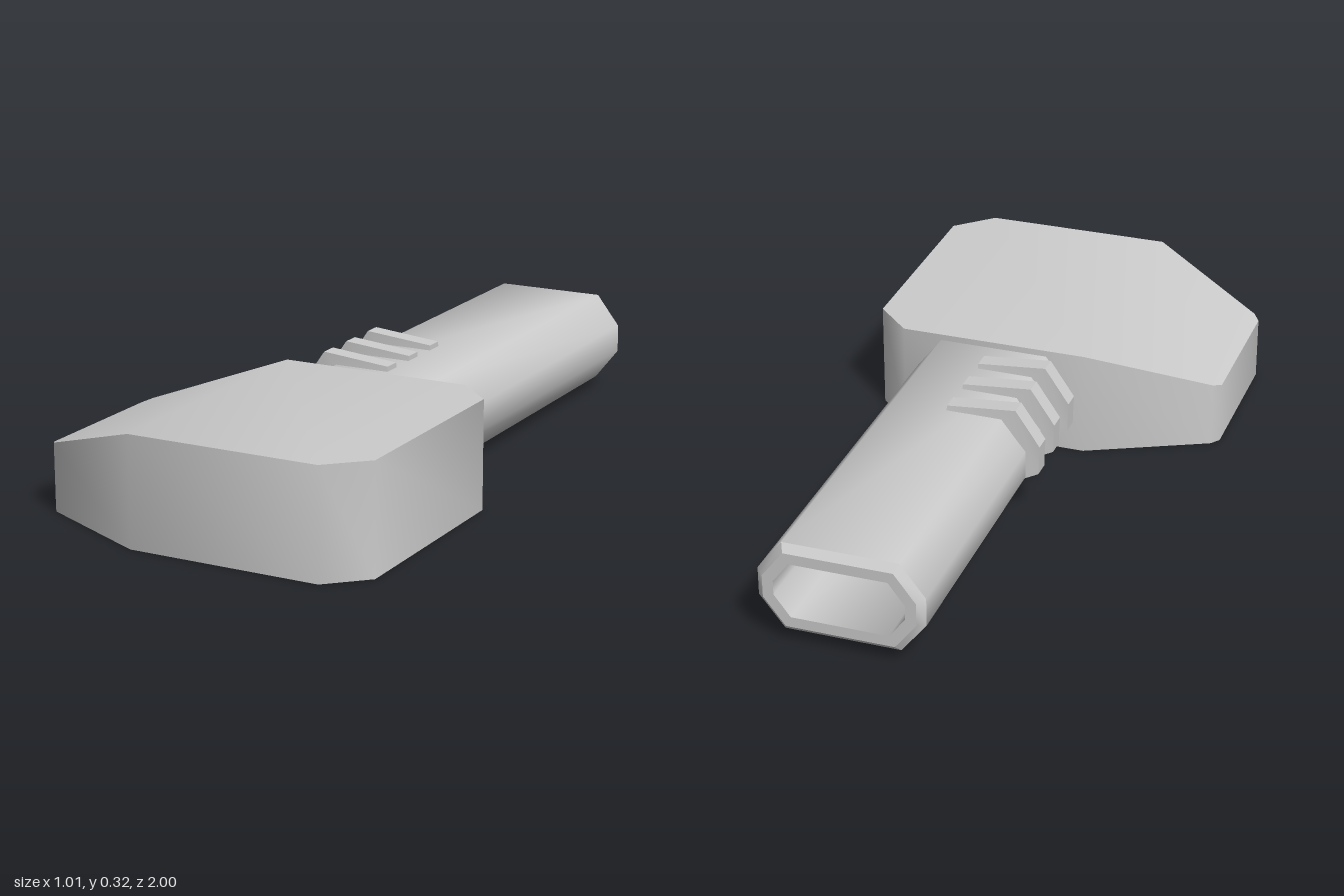
import * as THREE from 'three';
import { toCreasedNormals } from 'three/addons/utils/BufferGeometryUtils.js';

const material = new THREE.MeshStandardMaterial({ color: 0xcccccc });

// Skin between successive closed rings of points, optionally capped at both ends.
function loft(rings, capped, crease = 0.95) {
  const n = rings[0].length, index = [];
  for (let r = 0; r < rings.length - 1; r++) {
    for (let i = 0; i < n; i++) {
      const j = (i + 1) % n, a = r * n, b = a + n;
      index.push(a + i, a + j, b + j, a + i, b + j, b + i);
    }
  }
  if (capped) {
    const e = (rings.length - 1) * n;
    for (let i = 1; i < n - 1; i++) index.push(0, i + 1, i, e, e + i, e + i + 1);
  }
  const g = new THREE.BufferGeometry();
  g.setAttribute('position', new THREE.Float32BufferAttribute(rings.flat(2), 3));
  g.setIndex(index);
  return toCreasedNormals(g, crease);
}

// Octagonal handle section at depth z, inset from the outer wall.
function handleRing(z, inset) {
  const w = 0.23 - inset, h = 0.13 - inset;
  const cx = 0.07 - inset * 0.5, cy = 0.09 - inset * 0.6;
  return [[w, h - cy], [w, cy - h], [w - cx, -h], [cx - w, -h],
    [-w, cy - h], [-w, h - cy], [cx - w, h], [w - cx, h]]
    .map(([x, y]) => [0.125 + x, 0.16 + y, z]);
}

export function createModel() {
  const group = new THREE.Group();
  const add = (name, geometry) => {
    const mesh = new THREE.Mesh(geometry, material);
    mesh.name = name;
    group.add(mesh);
    return mesh;
  };

  // Head: rectangular sections along x as [x, half depth, top height]
  const sections = [[-0.51, 0.215, 0.184], [-0.49, 0.242, 0.192],
    [-0.15, 0.405, 0.308], [0.4, 0.405, 0.308], [0.505, 0.305, 0.308]];
  add('head', loft(sections.map(([x, d, top]) => [
    [x, 0, 0.595 - d], [x, top, 0.595 - d], [x, top, 0.595 + d], [x, 0, 0.595 + d],
  ]), true));

  // Hollow handle: outer wall, bevelled rim and bore
  add('handle', loft([handleRing(0.2, 0), handleRing(-0.98, 0)], false));
  add('handleRim', loft([handleRing(-0.98, 0), handleRing(-1, 0.02), handleRing(-1, 0.05)], false, 0.5));
  add('handleBore', loft([handleRing(-1, 0.05), handleRing(0.2, 0.05)], false));

  // Grip ribs wrapped over one upper corner of the handle, narrower on the outside
  const profile = [[0.125, 0.28], [0.125, 0.304], [-0.075, 0.322], [-0.145, 0.22],
    [-0.142, 0.135], [-0.1, 0.115], [-0.09, 0.19], [-0.03, 0.275]];
  const shape = new THREE.Shape(profile.map(([x, y]) => new THREE.Vector2(x, y)));
  const rib = new THREE.ExtrudeGeometry(shape, { depth: 0.06, bevelEnabled: false });
  rib.translate(0, 0, -0.03);
  const p = rib.attributes.position;
  for (let i = 0; i < p.count; i++) {
    if (p.getY(i) > 0.295 || p.getX(i) < -0.11) p.setZ(i, p.getZ(i) * 0.85);
  }
  const ribGeometry = toCreasedNormals(rib, 0.5);
  for (const z of [0.087, -0.042, -0.172]) add('gripRib', ribGeometry).position.z = z;

  return group;
}
